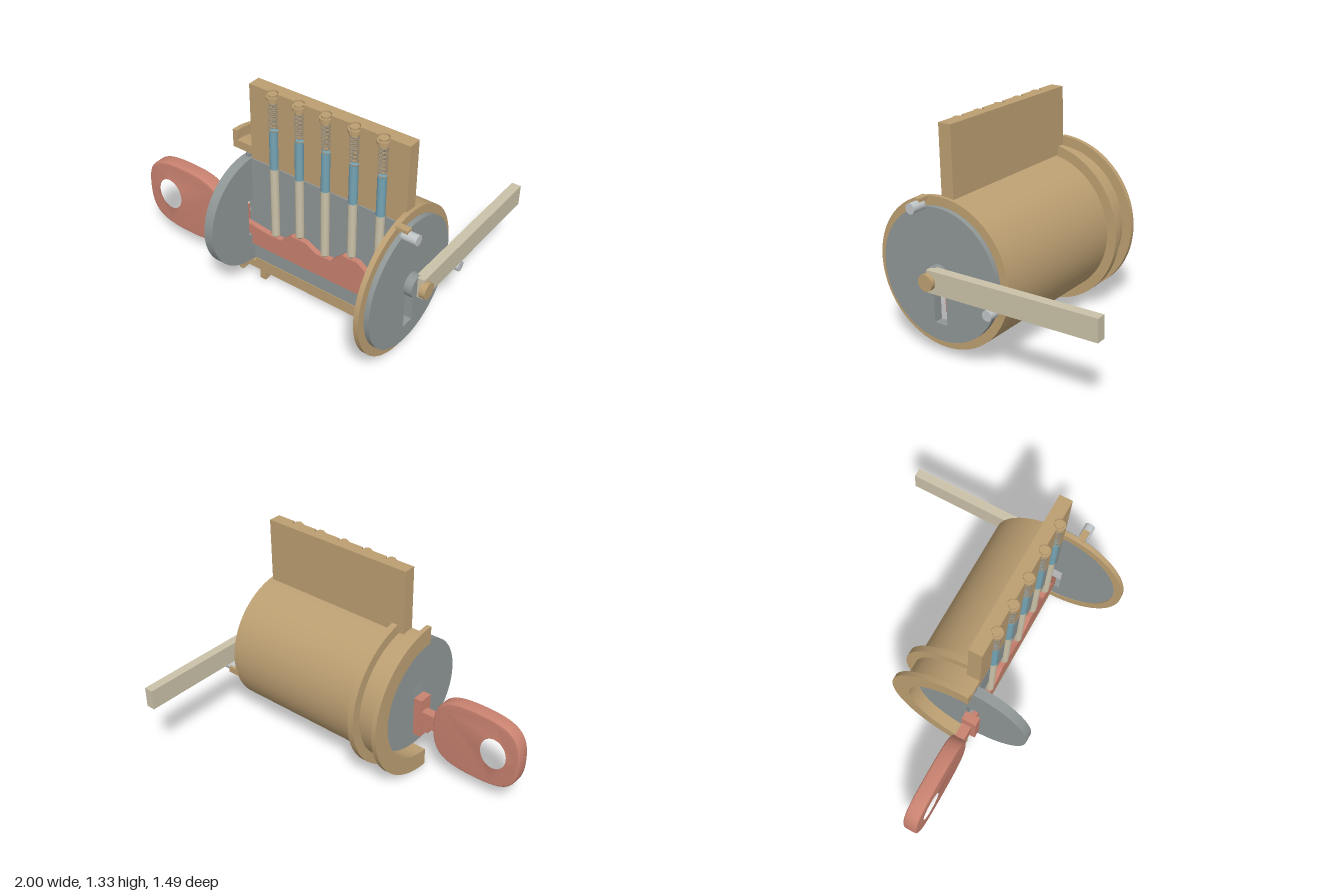
import * as THREE from 'three';
import { toCreasedNormals } from 'three/addons/utils/BufferGeometryUtils.js';

const CY = 0.5, CZ = 0.31;              // barrel axis; z = CZ is also the cutaway plane
const PINS = [-0.03, 0.145, 0.32, 0.5, 0.675];
const KEY_LIFT = [0.38, 0.45, 0.405, 0.485, 0.43];

export function createModel() {
  const model = new THREE.Group();
  const mat = (name, color) => {
    const m = new THREE.MeshStandardMaterial({ color });
    m.name = name;
    return m;
  };
  const brass = mat('brass', 0xbc9f72), steel = mat('steel', 0x8f9696), red = mat('keyRed', 0xc98270),
    blue = mat('driverBlue', 0x74a3b3), pale = mat('paleNickel', 0xcac1a8),
    silver = mat('silver', 0xc0c5c7), spring = mat('springMetal', 0x9a8f7c);

  function add(name, geo, material, x = 0, y = 0, z = 0) {
    const mesh = new THREE.Mesh(geo, material);
    mesh.name = name;
    mesh.position.set(x, y, z);
    model.add(mesh);
    return mesh;
  }
  function box(name, material, x0, x1, y0, y1, z0, z1) {
    return add(name, new THREE.BoxGeometry(x1 - x0, y1 - y0, z1 - z0), material,
      (x0 + x1) / 2, (y0 + y1) / 2, (z0 + z1) / 2);
  }
  const solid = (shape, depth) => toCreasedNormals(
    new THREE.ExtrudeGeometry(shape, { depth, bevelEnabled: false, curveSegments: 48 }), 0.5);

  // Cross-section around the barrel axis, extruded along x (shape x runs to the back)
  function along(name, material, shape, x0, x1) {
    const mesh = add(name, solid(shape, x1 - x0), material, x0, CY, CZ);
    mesh.rotation.y = Math.PI / 2;
    return mesh;
  }
  function arcRing(rIn, rOut, end = Math.PI / 2) {
    const s = new THREE.Shape();
    s.absarc(0, 0, rOut, -Math.PI / 2, end, false);
    s.absarc(0, 0, rIn, end, -Math.PI / 2, true);
    s.closePath();
    return s;
  }
  function disc(r, hole) {
    const s = new THREE.Shape();
    s.absarc(0, 0, r, 0, Math.PI * 2, false);
    if (hole) s.holes.push(hole);
    return s;
  }
  const poly = pts => new THREE.Path(pts.map(p => new THREE.Vector2(...p)));
  function rod(name, material, r, x0, x1, y, z) {
    const g = new THREE.CylinderGeometry(r, r, x1 - x0, 32);
    g.rotateZ(Math.PI / 2);
    return add(name, g, material, (x0 + x1) / 2, y, z);
  }
  // Slab standing behind the cut plane with a half-round bore for every pin
  function boredSlab(name, material, x0, x1, depth, y0, y1) {
    const s = new THREE.Shape();
    s.moveTo(x0, 0);
    for (const x of PINS) {
      s.lineTo(x - 0.031, 0);
      s.absarc(x, 0, 0.031, Math.PI, 0, true);
    }
    s.lineTo(x1, 0);
    s.lineTo(x1, depth);
    s.lineTo(x0, depth);
    s.closePath();
    const g = solid(s, y1 - y0);
    g.rotateX(-Math.PI / 2);
    return add(name, g, material, 0, y0, CZ);
  }

  // Housing: half shell, wider front counterbore, flanges and full rear ring
  along('housingFront', brass, arcRing(0.385, 0.437), -0.325, -0.19);
  along('housingShell', brass, arcRing(0.359, 0.437, 1.388), -0.19, 0.82);
  along('frontFlange', brass, arcRing(0.386, 0.498), -0.325, -0.295);
  along('retainingFlange', brass, arcRing(0.43, 0.498, 1.378), -0.16, -0.12);
  along('rearRing', brass, disc(0.437, disc(0.386)), 0.82, 0.85);
  boredSlab('pinHousing', brass, -0.19, 0.83, 0.08, 0.86, 1.335);

  // Plug: front disc with stepped keyway, half body, bored upper strip
  along('plugFace', steel, disc(0.355, poly([[-0.02, -0.25], [0.02, -0.25], [0.02, -0.17],
    [0.04, -0.17], [0.04, 0.075], [-0.045, 0.075], [-0.045, -0.17], [-0.02, -0.17]])), -0.255, -0.195);
  along('plugCollar', steel, arcRing(0.34, 0.38), -0.235, -0.21);
  const body = new THREE.Shape();
  body.moveTo(0, -0.355);
  body.absarc(0, 0, 0.355, -Math.PI / 2, Math.acos(0.04 / 0.355), false);
  for (const [u, v] of [[0.04, -0.17], [0.02, -0.17], [0.02, -0.25], [0, -0.25]]) body.lineTo(u, v);
  body.closePath();
  along('plugBody', steel, body, -0.196, 0.825);
  boredSlab('plugBores', steel, -0.196, 0.825, 0.04, 0.575, 0.853);

  // Rear disc with slot, hub, tail bar and boss
  along('rearDisc', steel, disc(0.386, poly([[-0.045, -0.285], [0.04, -0.285],
    [0.04, -0.06], [-0.045, -0.06]])), 0.825, 0.88);
  rod('hub', steel, 0.067, 0.88, 0.93, CY, CZ);
  box('tailBar', pale, 0.912, 0.97, 0.435, 0.565, -0.745, 0.32);
  rod('tailBoss', brass, 0.048, 0.96, 0.997, CY, CZ);

  // Stop pins and the lugs that limit them
  rod('stopPin', silver, 0.03, 0.88, 0.97, 0.887, 0.41);
  rod('stopPin', silver, 0.03, 0.88, 0.97, 0.4, -0.075);
  box('stopLug', brass, 0.84, 0.915, 0.91, 0.93, 0.39, 0.43);
  box('stopLug', brass, 0.84, 0.91, 0.38, 0.42, -0.122, -0.103);

  // Pin stacks: key pin, driver pin, spring and cap
  PINS.forEach((x, i) => {
    const y0 = KEY_LIFT[i];
    const profile = [[0, y0], [0.012, y0], [0.025, y0 + 0.016], [0.025, 0.855], [0, 0.855]];
    const tip = new THREE.LatheGeometry(profile.map(p => new THREE.Vector2(...p)), 24);
    add('keyPin', toCreasedNormals(tip.toNonIndexed(), 0.5), pale, x, 0, CZ);
    add('driverPin', new THREE.CylinderGeometry(0.025, 0.025, 0.245, 24), blue, x, 0.9775, CZ);

    const coil = [];
    for (let k = 0; k <= 96; k++) {
      const a = (k / 96) * Math.PI * 2 * 8;
      coil.push(new THREE.Vector3(Math.cos(a) * 0.022, 1.1 + 0.19 * k / 96, Math.sin(a) * 0.022));
    }
    add('spring', new THREE.TubeGeometry(new THREE.CatmullRomCurve3(coil), 128, 0.004, 5),
      spring, x, 0, CZ);
    add('capStem', new THREE.CylinderGeometry(0.026, 0.026, 0.05, 24), brass, x, 1.304, CZ);
    add('capRim', new THREE.CylinderGeometry(0.036, 0.036, 0.022, 24), brass, x, 1.305, CZ);
  });

  // Key bow: softly rounded plate with an oval hole
  const bow = new THREE.Shape();
  const l = -0.985, r = -0.415, b = 0.135, t = 0.58, m = 0.36, c = (l + r) / 2;
  bow.moveTo(l, m);
  bow.bezierCurveTo(l, t - 0.05, l + 0.06, t, c, t);
  bow.bezierCurveTo(r - 0.06, t, r, t - 0.05, r, m);
  bow.bezierCurveTo(r, b + 0.05, r - 0.06, b, c, b);
  bow.bezierCurveTo(l + 0.06, b, l, b + 0.05, l, m);
  const oval = new THREE.Path();
  oval.absellipse(-0.825, 0.36, 0.087, 0.103, 0, Math.PI * 2, true);
  bow.holes.push(oval);
  add('keyBow', toCreasedNormals(new THREE.ExtrudeGeometry(bow, { depth: 0.06, bevelThickness: 0.015,
    bevelSize: 0.015, bevelSegments: 3, curveSegments: 20 }), 0.5), red, 0, 0, 0.28);

  // Key neck, shoulder and cut blade
  box('keyNeck', red, -0.42, -0.3, 0.31, 0.41, 0.275, 0.335);
  box('keyNeckStep', red, -0.355, -0.3, 0.265, 0.32, 0.285, 0.33);
  box('keyShoulder', red, -0.31, -0.256, 0.225, 0.49, 0.27, 0.363);
  const blade = new THREE.Shape([[-0.26, 0.258], [0.82, 0.258], [0.82, 0.345], [0.74, 0.425],
    [0.62, 0.43], [0.55, 0.48], [0.45, 0.48], [0.37, 0.405], [0.27, 0.405], [0.19, 0.445],
    [0.09, 0.445], [0.02, 0.38], [-0.07, 0.378], [-0.2, 0.395], [-0.26, 0.4]]
    .map(p => new THREE.Vector2(...p)));
  add('keyBlade', solid(blade, 0.034), red, 0, 0, 0.293);

  return model;
}
